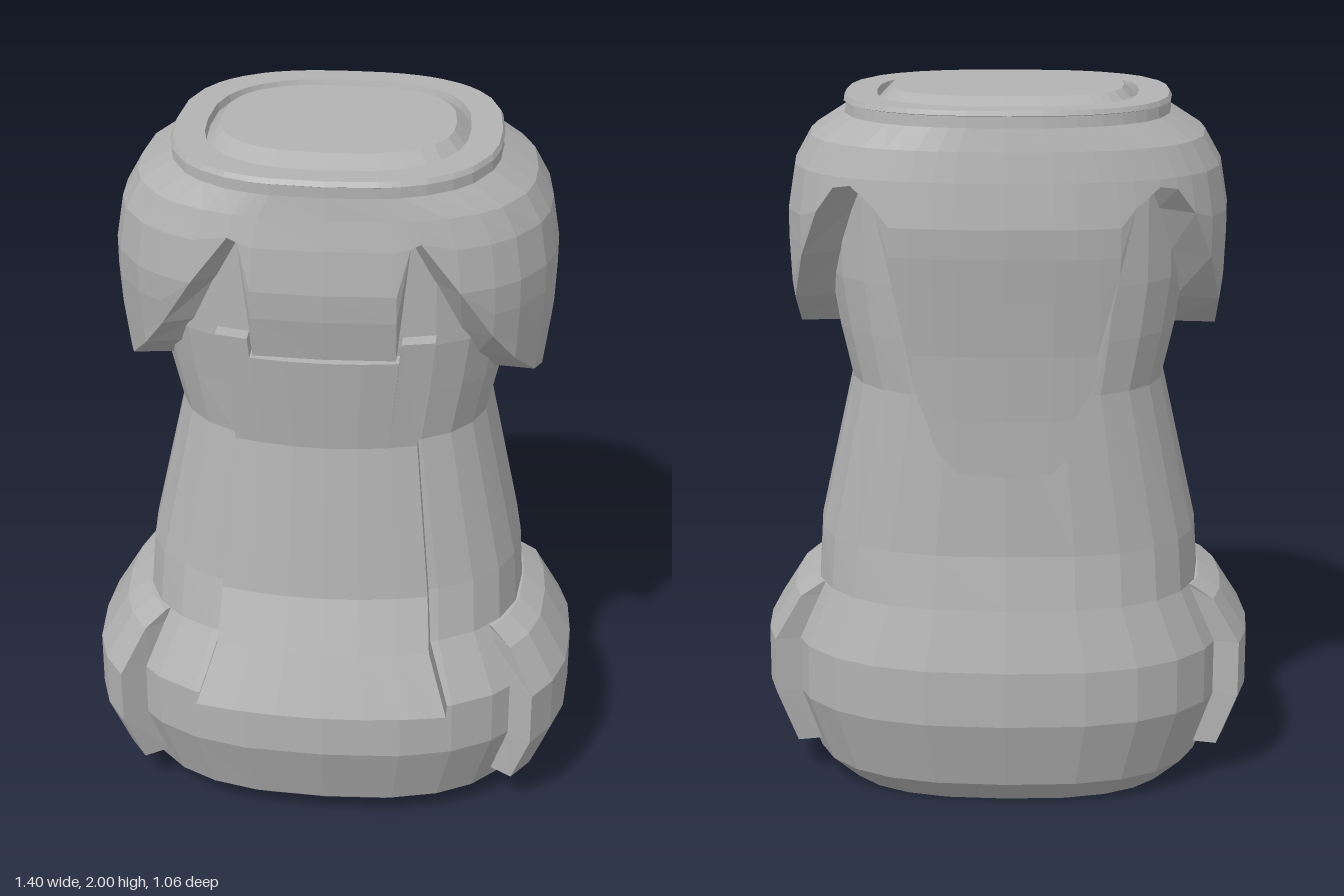
import * as THREE from 'three';

const grey = new THREE.MeshStandardMaterial({ color: 0xb2b2b2, flatShading: true });
grey.name = 'grey';

// Profiles: [height, half width, front z, back z], from the bottom up
const BODY = [
  [0, 0.48, 0.32, -0.38], [0.07, 0.56, 0.41, -0.44], [0.27, 0.63, 0.48, -0.5],
  [0.43, 0.63, 0.48, -0.5], [0.6, 0.55, 0.4, -0.465], [0.75, 0.54, 0.36, -0.44],
  [1.2, 0.44, 0.31, -0.43], [1.35, 0.475, 0.32, -0.43], [1.5, 0.5, 0.335, -0.43],
  [1.9, 0.5, 0.33, -0.43],
];
const CAP = [
  [0.99, 0.58, 0.36, -0.475], [1.15, 0.58, 0.36, -0.48], [1.33, 0.585, 0.36, -0.492],
  [1.48, 0.605, 0.37, -0.51], [1.6, 0.61, 0.395, -0.525], [1.68, 0.61, 0.402, -0.53],
  [1.8, 0.59, 0.39, -0.515], [1.88, 0.545, 0.375, -0.502], [1.94, 0.45, 0.366, -0.49],
  [1.97, 0.445, 0.366, -0.487],
];
const PAD = [
  [0.11, 0.64, 0.48, -0.49], [0.27, 0.7, 0.55, -0.55], [0.43, 0.7, 0.55, -0.55],
  [0.56, 0.62, 0.48, -0.51], [0.6, 0.555, 0.42, -0.475],
];
const PANEL = [ // [height, half width, front z]
  [0.4, 0.335, 0.46], [0.43, 0.355, 0.53], [0.6, 0.3, 0.465], [0.75, 0.29, 0.405],
  [1.2, 0.25, 0.35], [1.53, 0.295, 0.385],
];

// Point on a rounded-oval section; 0 degrees is +x, 90 is +z
function oval([y, hx, zf, zb], deg) {
  const pow = (v) => Math.sign(v) * Math.abs(v) ** (2 / 2.6);
  const t = (deg * Math.PI) / 180;
  return [hx * pow(Math.cos(t)), y, (zf + zb) / 2 + ((zf - zb) / 2) * pow(Math.sin(t))];
}

function sectionAt(profile, y) {
  let i = 0;
  while (i < profile.length - 2 && profile[i + 1][0] < y) i++;
  const k = THREE.MathUtils.clamp((y - profile[i][0]) / (profile[i + 1][0] - profile[i][0]), 0, 1);
  return profile[i].map((v, n) => (n === 0 ? y : v + (profile[i + 1][n] - v) * k));
}

// Skin over rows of points, skipping collapsed triangles
function skin(name, rows) {
  const pos = [];
  const tri = (...p) => {
    const [a, b, c] = p.map((q) => new THREE.Vector3(...q));
    if (b.sub(a).cross(c.sub(a)).length() > 1e-8) pos.push(...p.flat());
  };
  for (let i = 0; i < rows.length - 1; i++) {
    for (let j = 0; j < rows[i].length - 1; j++) {
      const a = rows[i][j], b = rows[i][j + 1], c = rows[i + 1][j + 1], d = rows[i + 1][j];
      tri(a, d, c);
      tri(a, c, b);
    }
  }
  const g = new THREE.BufferGeometry();
  g.setAttribute('position', new THREE.Float32BufferAttribute(pos, 3));
  g.computeVertexNormals();
  const mesh = new THREE.Mesh(g, grey);
  mesh.name = name;
  return mesh;
}

// Raised patch: outer rows with all four borders turned in to the inner rows
function patch(name, outer, inner) {
  const wide = (row, ends) => [ends[0], ...row, ends[ends.length - 1]];
  const rows = outer.map((r, i) => wide(r, inner[i]));
  const first = inner[0], last = inner[inner.length - 1];
  return skin(name, [wide(first, first), ...rows, wide(last, last)]);
}

export function createModel() {
  const model = new THREE.Group();
  model.name = 'stopper';

  // Waisted body with a closed base
  const around = Array.from({ length: 25 }, (_, i) => i * 15);
  const ring = (section) => around.map((t) => oval(section, t));
  model.add(skin('body', [ring([0, 0, -0.03, -0.03]), ...BODY.map(ring)]));

  // Cap hem: [angle, lower edge height], from the back flap round to the front tongue
  const hem = [
    [-90, 0.99], [-82, 1.0], [-77, 1.06], [-71, 1.25], [-66, 1.55], [-61, 1.73], [-52, 1.78],
    [-45, 1.77], [-38, 1.7], [-28, 1.57], [-14, 1.43], [0, 1.33], [10, 1.34], [21, 1.36],
    [37, 1.44], [48, 1.53], [60, 1.68], [70, 1.82], [73, 1.81], [77, 1.48], [90, 1.48],
  ];
  const columns = [...hem, ...hem.slice(0, -1).reverse().map(([a, y]) => [180 - a, y])];
  const capRow = (section) => columns.map(([a]) => oval(section, a));
  model.add(skin('cap', [
    columns.map(([a, y]) => oval(sectionAt(BODY, y), a).map((v, n) => (n === 1 ? v : v * 0.98))),
    ...CAP.map(([level]) => columns.map(([a, y]) => oval(sectionAt(CAP, Math.max(level, y)), a))),
  ]));

  // Flat rim, groove and raised top disc
  model.add(skin('capTop', [
    [1.97, 0.445, 0.366, -0.487], [1.972, 0.452, 0.37, -0.492], [1.985, 0.445, 0.362, -0.487],
    [1.985, 0.36, 0.285, -0.41], [1.965, 0.355, 0.28, -0.405],
    [2.0, 0.32, 0.2, -0.32], [2.0, 0, -0.06, -0.06],
  ].map(capRow)));

  // Side pads around the base
  for (const side of [1, -1]) {
    const angles = [-21, -10, 0, 12, 24, 36].map((a) => (side > 0 ? a : 180 - a));
    if (side < 0) angles.reverse();
    const outer = PAD.map((s) => angles.map((a) => oval(s, a)));
    const inner = PAD.map(([y]) => angles.map((a) => oval(sectionAt(BODY, y), a)
      .map((v, n) => (n === 1 ? v : v * 0.97))));
    model.add(patch(side > 0 ? 'leftPad' : 'rightPad', outer, inner));
  }

  // Front panel, flared at the foot, its top edge stepped under the tongue
  const across = [1, 0.7, 0.68, 0.35, 0, -0.35, -0.68, -0.7, -1];
  const panel = (depth) => PANEL.map(([y, w, z]) => across.map((u) => [
    u * w, y > 1.5 && Math.abs(u) < 0.69 ? 1.475 : y, z - 0.04 * u * u - depth,
  ]));
  model.add(patch('frontPanel', panel(0), panel(0.075)));

  return model;
}
